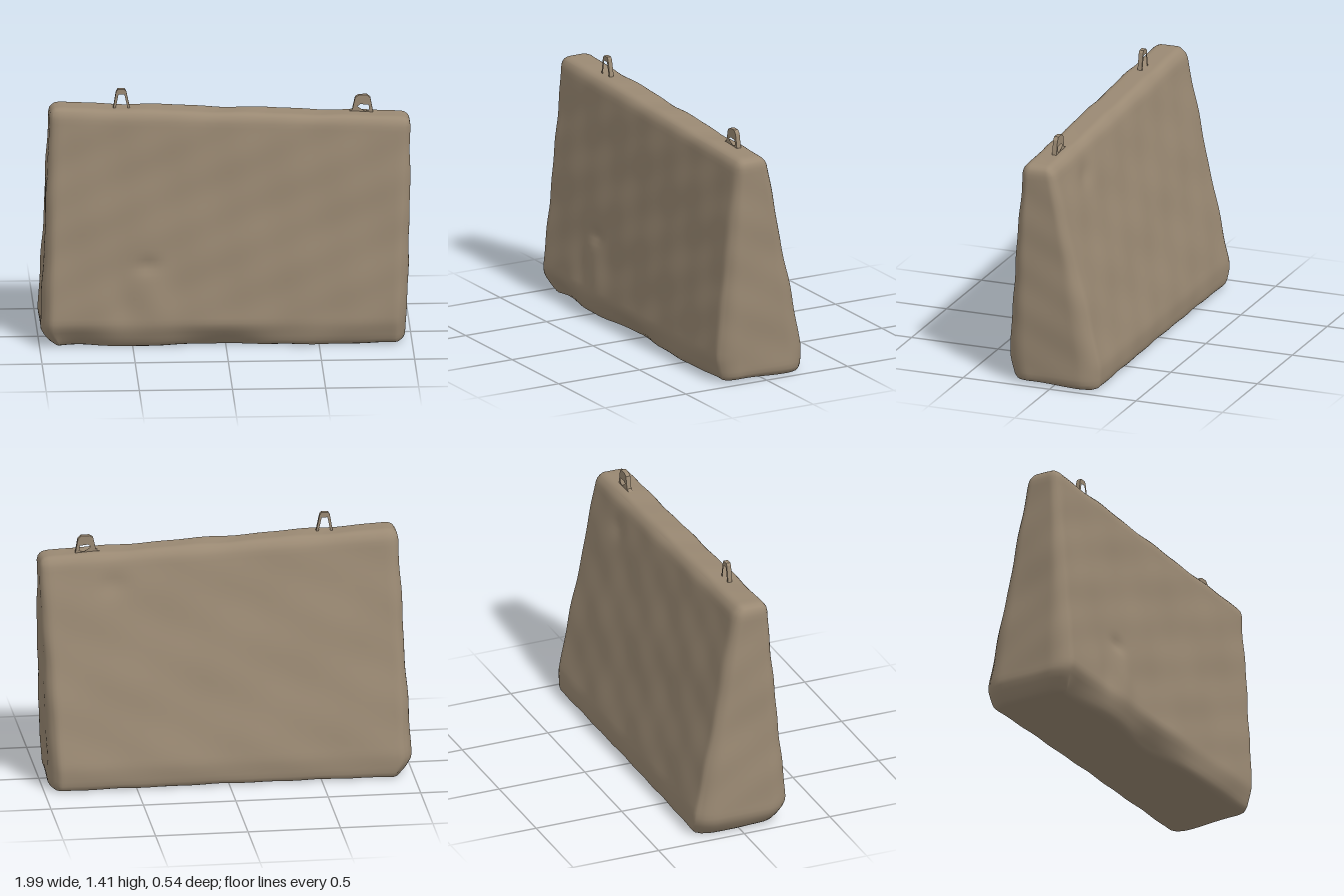
import * as THREE from 'three';
import { mergeVertices } from 'three/addons/utils/BufferGeometryUtils.js';

const { clamp, lerp, smoothstep } = THREE.MathUtils;

// Soft bump centred on (a, b)
const bump = (x, y, a, b, sx, sy) => Math.exp(-(((x - a) / sx) ** 2) - ((y - b) / sy) ** 2);

// Gentle lumpy surface variation
const lumps = (x, y, z) =>
  0.004 * Math.sin(7 * x + 3 * y + 5 * z) * Math.cos(9 * y - 4 * x) +
  0.003 * Math.sin(17 * x - 11 * y + 13 * z) * Math.sin(14 * y + 6 * x + 2);

// Wedge-shaped slab: a subdivided box tapered towards the top, with rounded worn edges
function slabGeometry() {
  let g = new THREE.BoxGeometry(2, 2, 2, 72, 48, 24);
  g.deleteAttribute('uv');
  g.deleteAttribute('normal');
  g = mergeVertices(g);
  const pos = g.attributes.position;
  const p = new THREE.Vector3(), c = new THREE.Vector3();
  for (let i = 0; i < pos.count; i++) {
    const u = pos.getX(i), t = (pos.getY(i) + 1) / 2, w = pos.getZ(i);
    // Sloping ends, top edge and faces
    const left = lerp(-1.0, -0.94, t), right = lerp(0.97, 0.998, t);
    const x = lerp(left, right, (u + 1) / 2);
    const top = lerp(1.323, 1.25, (x + 0.92) / 1.92);
    const y = lerp(0.008, top, t);
    const front = lerp(0.276, 0.172, t), back = lerp(-0.285, -0.015, t);
    const z = lerp(back, front, (w + 1) / 2);
    // Round the edges about an inner core
    const r = 0.05;
    p.set(x, y, z);
    c.set(clamp(x, left + r, right - r), clamp(y, r, top - r), clamp(z, back + r, front - r));
    const d = p.clone().sub(c).normalize();
    p.copy(c).addScaledVector(d, r + lumps(x, y, z));
    // Broken lower front edge, chipped lower corner and dents in the front
    const low = 1 - smoothstep(p.y, 0, 0.15);
    if (w > 0) {
      const chip = 0.035 + 0.05 * bump(x, 0, -0.05, 0, 0.22, 1) + 0.04 * bump(x, 0, -0.8, 0, 0.2, 1);
      p.z -= low * chip * w;
      p.z -= w * (0.015 * bump(x, y, -0.42, 0.46, 0.06, 0.04) + 0.01 * bump(x, y, -0.55, 0.25, 0.07, 0.12));
      p.z += w * 0.012 * bump(x, y, -0.38, 0.26, 0.08, 0.12);
    } else {
      p.z -= w * low * 0.025;
      p.z -= w * 0.012 * bump(x, y, 0.6, 1.1, 0.08, 0.06);
    }
    if (x < 0) p.x += 0.05 * smoothstep(-x, 0.8, 1) * (1 - smoothstep(p.y, 0, 0.11));
    // Bevelled vertical corners at the base
    p.x -= Math.sign(u) * 0.03 * smoothstep(Math.abs(u), 0.9, 1) * smoothstep(Math.abs(w), 0.6, 1) * (1 - t);
    p.y = Math.max(p.y, 0);
    pos.setXYZ(i, p.x, p.y, p.z);
  }
  g.computeVertexNormals();
  return g;
}

const toPoints = (list) => list.map(([x, y]) => new THREE.Vector2(x, y));

// Flat lifting loop cut from an outline with an opening
function liftingLoop(name, outline, opening, z, depth, material) {
  const shape = new THREE.Shape(toPoints(outline));
  shape.holes.push(new THREE.Path(toPoints(opening)));
  const g = new THREE.ExtrudeGeometry(shape, { depth, bevelEnabled: false });
  g.translate(0, 0, z - depth / 2);
  const mesh = new THREE.Mesh(g, material);
  mesh.name = name;
  return mesh;
}

export function createModel() {
  const group = new THREE.Group();
  group.name = 'concreteBarrierBlock';
  const concrete = new THREE.MeshStandardMaterial({ color: 0x9a8973 });
  concrete.name = 'weathered concrete';

  const slab = new THREE.Mesh(slabGeometry(), concrete);
  slab.name = 'slab';
  group.add(slab);

  // Tall narrow loop
  group.add(liftingLoop('rightLiftingLoop',
    [[-0.605, 1.28], [-0.585, 1.4], [-0.575, 1.413], [-0.54, 1.413], [-0.53, 1.4], [-0.505, 1.28]],
    [[-0.59, 1.295], [-0.572, 1.385], [-0.541, 1.385], [-0.52, 1.295]],
    0.09, 0.024, concrete));

  // Low wide loop with a triangular opening
  group.add(liftingLoop('leftLiftingLoop',
    [[0.63, 1.25], [0.685, 1.272], [0.7, 1.34], [0.72, 1.352], [0.765, 1.352], [0.782, 1.335], [0.8, 1.24]],
    [[0.712, 1.29], [0.728, 1.302], [0.772, 1.298], [0.776, 1.27], [0.752, 1.262]],
    0.055, 0.025, concrete));

  return group;
}
